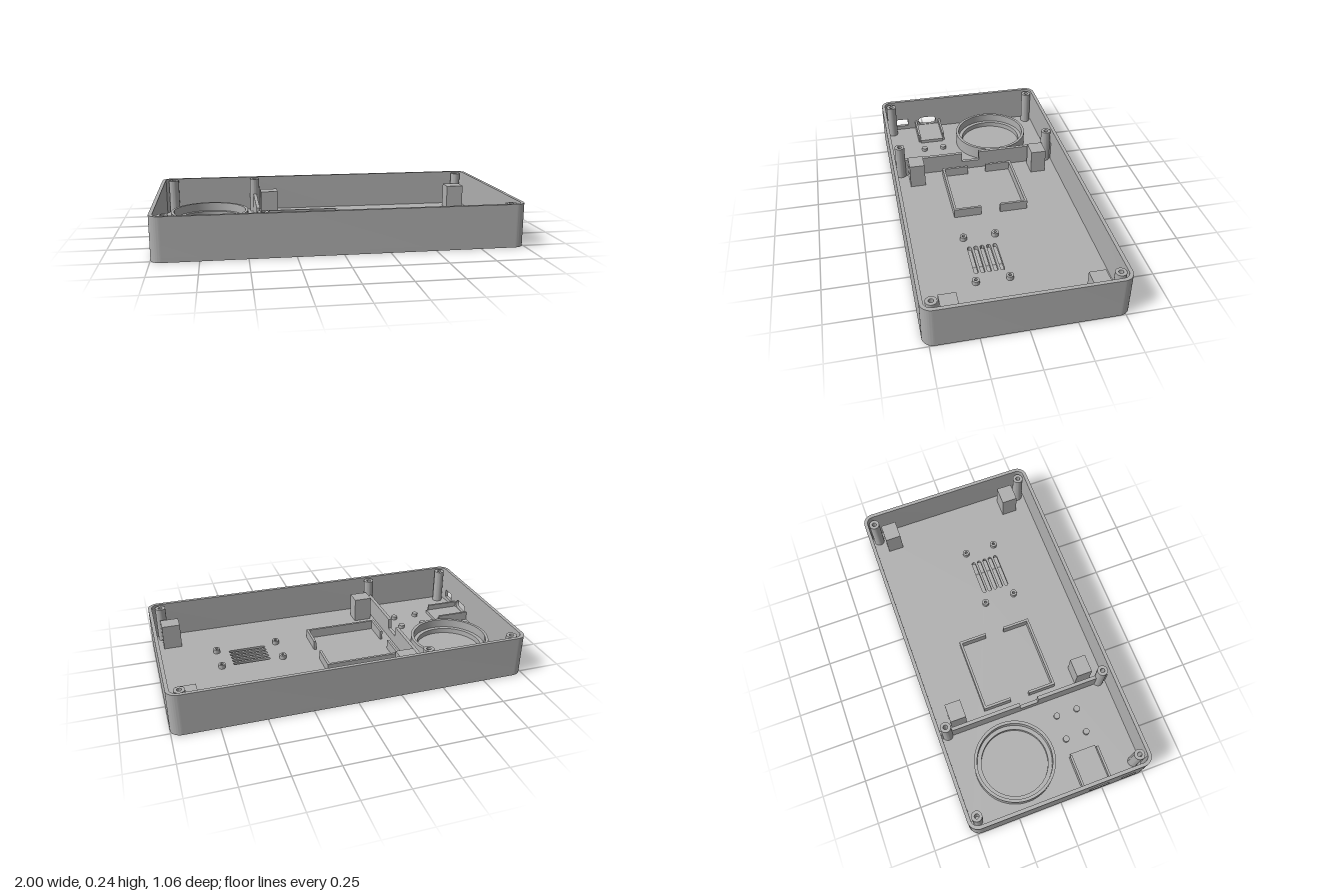
import * as THREE from 'three';
import { toCreasedNormals } from 'three/addons/utils/BufferGeometryUtils.js';

const HEIGHT = 0.24, FLOOR = 0.025, WALL = 0.02;
const CX = 0.94, CZ = 0.47, R = 0.06; // corner arc centres and radius

export function createModel() {
  const model = new THREE.Group();
  model.name = 'enclosureBase';
  const grey = new THREE.MeshStandardMaterial({ color: 0xb0b0b0 });
  grey.name = 'grey plastic';

  const add = (name, geometry) => {
    const mesh = new THREE.Mesh(toCreasedNormals(geometry, 0.5), grey);
    mesh.name = name;
    model.add(mesh);
  };
  // Box from its extents
  const box = (name, x0, x1, y0, y1, z0, z1) => {
    const g = new THREE.BoxGeometry(x1 - x0, y1 - y0, z1 - z0);
    add(name, g.translate((x0 + x1) / 2, (y0 + y1) / 2, (z0 + z1) / 2));
  };
  // Plan shape (shape y = -z) raised from y0 to y1
  const raise = (name, shape, y0, y1) => {
    const g = new THREE.ExtrudeGeometry(shape, { depth: y1 - y0, bevelEnabled: false, curveSegments: 14 });
    add(name, g.rotateX(-Math.PI / 2).translate(0, y0, 0));
  };
  const turn = (name, profile, x, z, segments = 32) => {
    const points = profile.map(([r, y]) => new THREE.Vector2(r, y));
    add(name, new THREE.LatheGeometry(points, segments).translate(x, 0, z));
  };
  const post = (name, x, z, r, hole, top, bottom) =>
    turn(name, [[r, FLOOR], [r, top], [hole, top], [hole, bottom], [0, bottom]], x, z);

  // Stadium-shaped hole
  const pill = (x, y, width, height) => {
    const r = height / 2, h = width / 2 - r, p = new THREE.Path();
    p.absarc(x + h, y, r, -Math.PI / 2, Math.PI / 2, false);
    p.absarc(x - h, y, r, Math.PI / 2, Math.PI * 1.5, false);
    p.closePath();
    return p;
  };

  // Clockwise rounded outline starting and ending on the -x side
  const outline = () => {
    const s = new THREE.Shape(), q = Math.PI / 2;
    s.moveTo(-CX - R, CZ);
    s.absarc(-CX, CZ, R, 2 * q, q, true);
    s.absarc(CX, CZ, R, q, 0, true);
    s.absarc(CX, -CZ, R, 0, -q, true);
    s.absarc(-CX, -CZ, R, -q, -2 * q, true);
    return s;
  };

  // Floor in two layers: foot recesses below, vent slots through both
  const vents = () => [0.037, 0.073, 0.11, 0.146, 0.182].map(z => pill(0.465, -z, 0.22, 0.022));
  const lower = outline(), upper = outline();
  lower.holes.push(...vents());
  upper.holes.push(...vents());
  for (const x of [-0.905, 0.905]) for (const z of [-0.43, 0.43]) {
    lower.holes.push(new THREE.Path().absarc(x, z, 0.042, 0, Math.PI * 2, false));
  }
  raise('floorUnderside', lower, 0, 0.01);
  raise('floor', upper, 0.01, FLOOR);

  // Outer wall, open along the -x side
  const walls = outline(), ri = R - WALL, q = Math.PI / 2;
  walls.lineTo(-CX - ri, -CZ);
  walls.absarc(-CX, -CZ, ri, -2 * q, -q, false);
  walls.absarc(CX, -CZ, ri, -q, 0, false);
  walls.absarc(CX, CZ, ri, 0, q, false);
  walls.absarc(-CX, CZ, ri, q, 2 * q, false);
  walls.closePath();
  raise('outerWall', walls, FLOOR, HEIGHT);

  // Side panel with the connector and switch openings (shape x = z)
  const panel = new THREE.Shape();
  panel.moveTo(-CZ, FLOOR).lineTo(CZ, FLOOR).lineTo(CZ, HEIGHT).lineTo(-CZ, HEIGHT).closePath();
  const square = new THREE.Path();
  square.moveTo(0.36, 0.05).lineTo(0.36, 0.1).lineTo(0.445, 0.1).lineTo(0.445, 0.05).closePath();
  panel.holes.push(pill(0.225, 0.075, 0.12, 0.055), square);
  const panelGeometry = new THREE.ExtrudeGeometry(panel, { depth: WALL, bevelEnabled: false });
  add('portWall', panelGeometry.rotateY(-Math.PI / 2).translate(-1 + WALL, 0, 0));

  // Lid screw posts
  for (const x of [-0.93, -0.42, 0.93]) for (const z of [-0.473, 0.47]) {
    post('screwPost', x, z, 0.03, 0.013, 0.235, 0.1);
  }

  // Divider with a cable notch
  box('divider', -0.43, -0.41, FLOOR, 0.14, -0.51, -0.03);
  box('divider', -0.43, -0.41, FLOOR, 0.14, 0.08, 0.51);
  box('dividerNotch', -0.43, -0.41, FLOOR, 0.08, -0.03, 0.08);

  // Round speaker seat with an inner ledge
  turn('speakerRing', [[0.23, FLOOR], [0.23, 0.105], [0.213, 0.105], [0.213, 0.055],
    [0.19, 0.055], [0.19, FLOOR]], -0.705, -0.168, 64);

  // Connector board cradle
  box('cradleSide', -0.985, -0.785, FLOOR, 0.077, 0.136, 0.149);
  box('cradleSide', -0.985, -0.785, FLOOR, 0.077, 0.297, 0.31);
  box('cradleBase', -0.985, -0.77, FLOOR, 0.045, 0.147, 0.299);

  // Locating pins
  for (const x of [-0.68, -0.535]) for (const z of [0.16, 0.285]) {
    turn('pin', [[0.018, FLOOR], [0.018, 0.045], [0, 0.045]], x, z, 24);
  }

  // Facing pair of U-shaped battery brackets
  for (const [back, backIn, tip] of [[-0.225, -0.211, -0.06], [0.215, 0.201, 0.053]]) {
    const z0 = Math.min(back, tip), z1 = Math.max(back, tip);
    box('bracketBack', -0.346, 0.066, FLOOR, 0.08, Math.min(back, backIn), Math.max(back, backIn));
    box('bracketLeg', -0.36, -0.346, FLOOR, 0.08, z0, z1);
    box('bracketLeg', 0.066, 0.08, FLOOR, 0.08, z0, z1);
  }

  // Square support blocks
  for (const x of [-0.334, 0.888]) for (const z of [-0.39, 0.381]) {
    box('supportBlock', x - 0.053, x + 0.053, FLOOR, 0.172, z - 0.046, z + 0.046);
  }

  // Circuit board standoffs around the vent
  for (const x of [0.283, 0.645]) for (const z of [0.016, 0.2]) {
    post('standoff', x, z, 0.02, 0.008, 0.05, 0.027);
  }

  return model;
}
